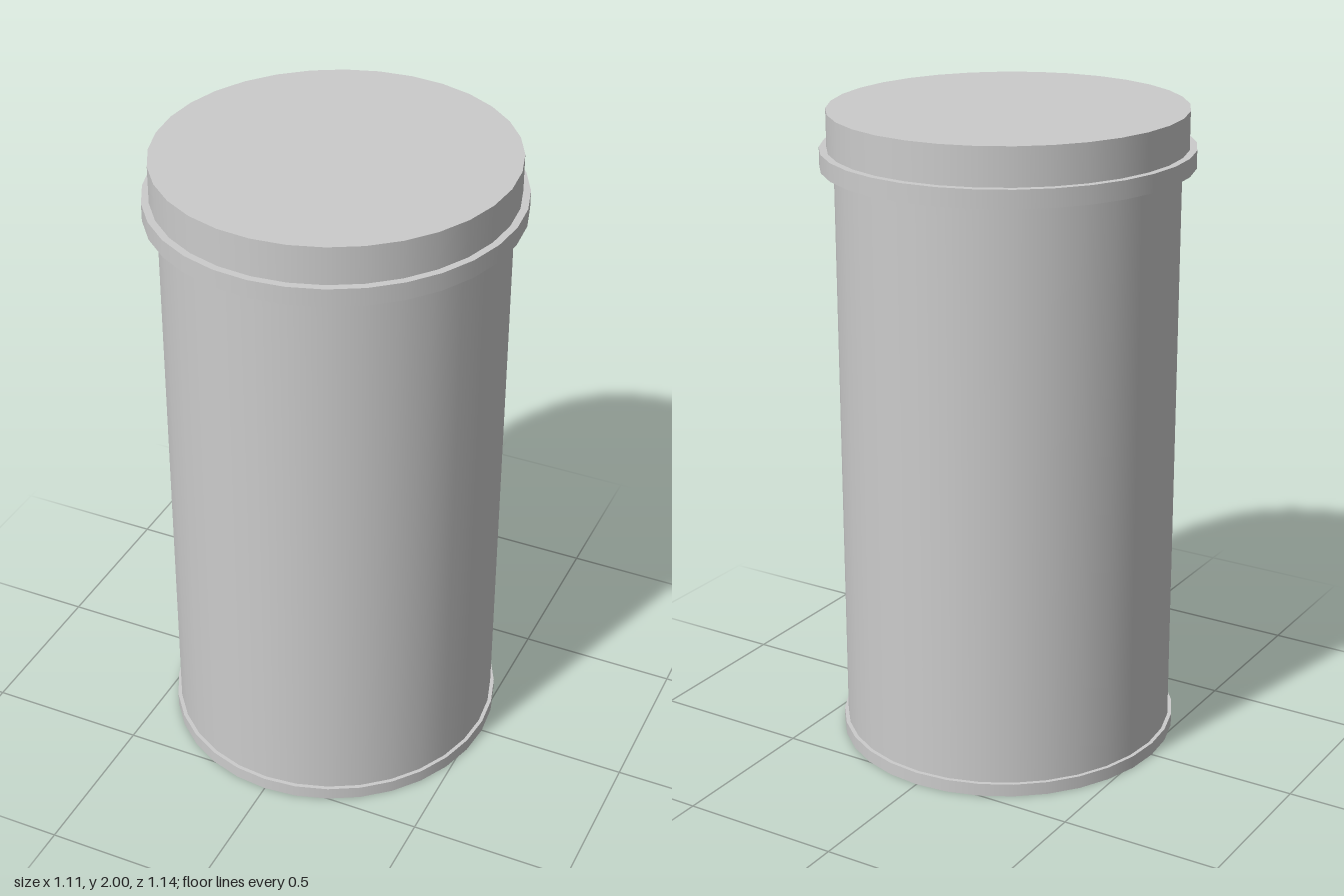
import * as THREE from 'three';

const DEPTH = 1.029; // the can is slightly deeper than it is wide

export function createModel() {
  const group = new THREE.Group();
  const material = new THREE.MeshStandardMaterial({ color: 0xcccccc });

  // One capped band of the can between two heights
  const band = (name, radius, y0, y1) => {
    const geometry = new THREE.CylinderGeometry(radius, radius, y1 - y0, 32);
    geometry.scale(1, 1, DEPTH);
    const mesh = new THREE.Mesh(geometry, material);
    mesh.name = name;
    mesh.position.y = (y0 + y1) / 2;
    group.add(mesh);
  };

  band('bottomRim', 0.526, 0, 0.04);
  band('body', 0.514, 0.04, 1.83);
  band('lidLip', 0.556, 1.83, 1.885);
  band('lid', 0.534, 1.885, 2);

  return group;
}
